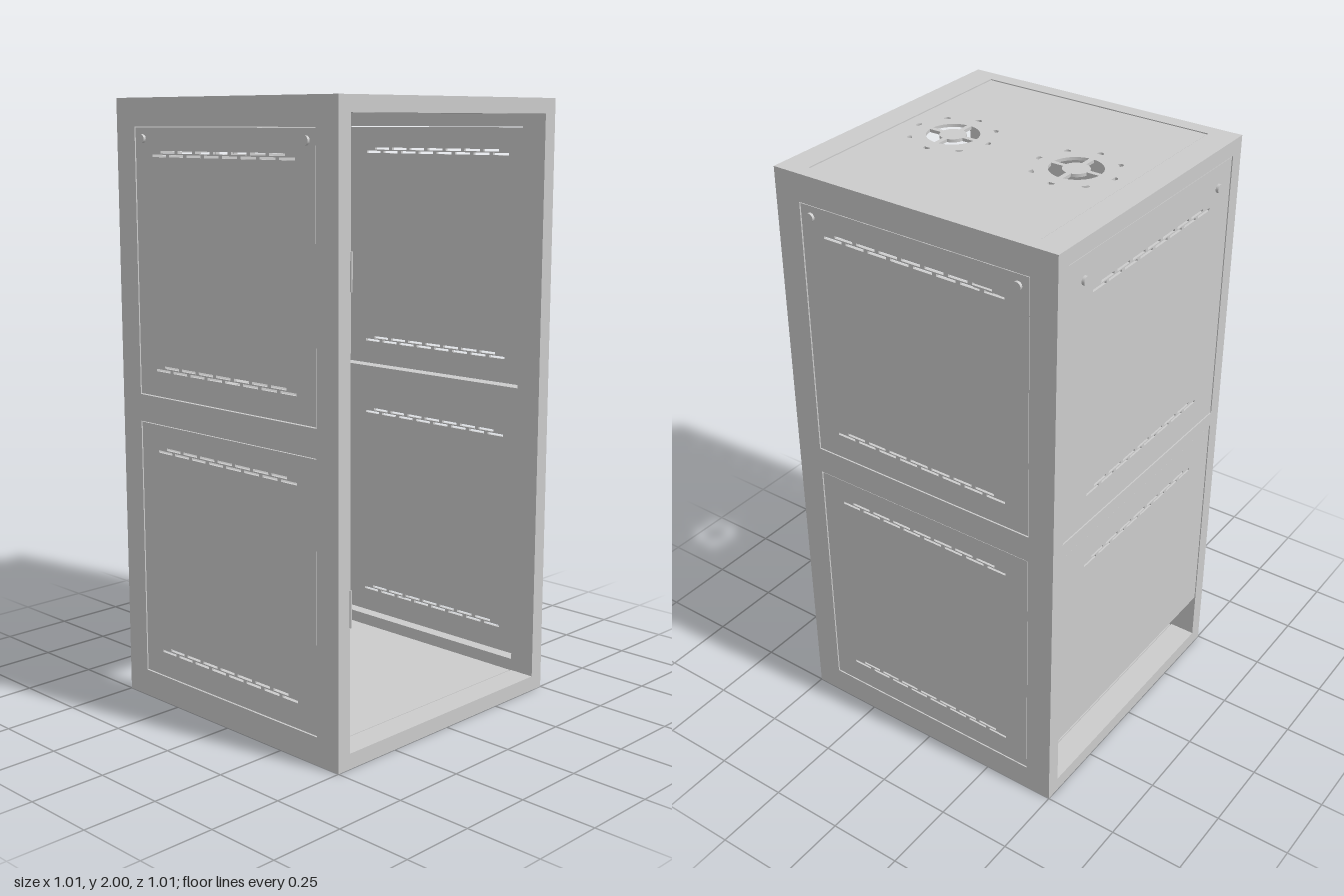
import * as THREE from 'three';

const MAT = new THREE.MeshStandardMaterial({ color: 0xcccccc, side: THREE.DoubleSide });
const BAR = 0.05, DEEP = 0.09, GAP = 0.003, SHEET = 0.01, RECESS = 0.002;

function add(parent, name, geometry, x = 0, y = 0, z = 0) {
  const mesh = new THREE.Mesh(geometry, MAT);
  mesh.name = name;
  mesh.position.set(x, y, z);
  parent.add(mesh);
  return mesh;
}

function rect(Type, x0, x1, y0, y1) {
  const p = new Type();
  p.moveTo(x0, y0);
  p.lineTo(x1, y0);
  p.lineTo(x1, y1);
  p.lineTo(x0, y1);
  p.closePath();
  return p;
}

function sheet(shape, holes, depth) {
  shape.holes.push(...holes);
  return new THREE.ExtrudeGeometry(shape, { depth, bevelEnabled: false, curveSegments: 10 });
}

// Two staggered rows of narrow ventilation slots
function slots(y) {
  const holes = [];
  for (let row = 0; row < 2; row++) {
    const count = 8 - row, pitch = 0.083;
    for (let i = 0; i < count; i++) {
      const x = (i - (count - 1) / 2) * pitch, yy = y + (row ? 0.006 : -0.006);
      holes.push(rect(THREE.Path, x - 0.034, x + 0.034, yy - 0.004, yy + 0.004));
    }
  }
  return holes;
}

// Fan grille: four ring quarters surrounded by eight drops
function fanHoles(cy) {
  const holes = [], inner = 0.042, outer = 0.083, half = 0.008;
  const a = Math.asin(half / inner), b = Math.asin(half / outer);
  for (let q = 0; q < 4; q++) {
    const t = q * Math.PI / 2, p = new THREE.Path();
    p.absarc(0, cy, outer, t + b, t + Math.PI / 2 - b, false);
    p.absarc(0, cy, inner, t + Math.PI / 2 - a, t + a, true);
    p.closePath();
    holes.push(p);
  }
  for (let i = 0; i < 8; i++) {
    const t = i * Math.PI / 4, c = Math.cos(t), s = Math.sin(t), p = new THREE.Path();
    const r = 0.011, mid = 0.13, tip = 0.098;
    p.moveTo(c * tip, cy + s * tip);
    p.absarc(c * mid, cy + s * mid, r, t - 1.9, t + 1.9, false);
    p.closePath();
    holes.push(p);
  }
  return holes;
}

export function createModel() {
  const model = new THREE.Group();
  model.name = 'cabinet';

  // Front and back frames
  for (const [name, z] of [['frontFrame', 0.5 - DEEP], ['backFrame', -0.5]]) {
    const hole = rect(THREE.Path, -0.5 + BAR, 0.5 - BAR, BAR, 2 - BAR);
    add(model, name, sheet(rect(THREE.Shape, -0.5, 0.5, 0, 2), [hole], DEEP), 0, 0, z);
  }
  add(model, 'backMiddleRail', new THREE.BoxGeometry(1 - 2 * BAR, BAR, DEEP), 0, 1, -0.5 + DEEP / 2);

  // Side rails
  const railLength = 1 - 2 * DEEP;
  for (const side of [-1, 1]) {
    for (const [name, y] of [['bottomSideRail', DEEP / 2], ['middleSideRail', 1], ['topSideRail', 2 - DEEP / 2]]) {
      add(model, name, new THREE.BoxGeometry(BAR, DEEP, railLength), side * (0.5 - BAR / 2), y, 0);
    }
  }

  // Slotted wall panels with round locks, on both sides and the back
  const walls = [
    { name: 'rightWall', turn: -Math.PI / 2, half: 0.41, lower: [0.09, 0.955], upper: [1.045, 1.91], rows: [0.185, 0.87] },
    { name: 'leftWall', turn: Math.PI / 2, half: 0.41, lower: [0.09, 0.955], upper: [1.045, 1.91], rows: [0.185, 0.87] },
    { name: 'backWall', turn: Math.PI, half: 0.45, lower: [0.22, 0.975], upper: [1.025, 1.95], rows: [0.87] },
  ];
  for (const w of walls) {
    const wall = new THREE.Group();
    wall.name = w.name;
    wall.rotation.y = w.turn;
    const z = 0.5 - RECESS - SHEET, x = w.half - GAP;
    for (const [name, [y0, y1], rows] of [['lowerPanel', w.lower, w.rows], ['upperPanel', w.upper, [1.14, 1.825]]]) {
      add(wall, name, sheet(rect(THREE.Shape, -x, x, y0 + GAP, y1 - GAP), rows.flatMap(slots), SHEET), 0, 0, z);
    }
    for (const s of [-1, 1]) {
      const lock = new THREE.CylinderGeometry(0.014, 0.014, 0.016, 20).rotateX(Math.PI / 2);
      add(wall, 'lock', lock, s * 0.37, 1.872, 0.499);
    }
    model.add(wall);
  }

  // Top panel with two fan grilles, and the floor panel
  const cover = (holes) => sheet(
    rect(THREE.Shape, -0.45 + GAP, 0.45 - GAP, -0.41 + GAP, 0.41 - GAP), holes, SHEET).rotateX(-Math.PI / 2);
  add(model, 'topPanel', cover([...fanHoles(0.225), ...fanHoles(-0.225)]), 0, 2 - RECESS - SHEET, 0);
  add(model, 'floorPanel', cover([]), 0, BAR - SHEET, 0);

  // Hinge pins on the front frame
  for (const y of [0.505, 1.505]) {
    add(model, 'hingePin', new THREE.CylinderGeometry(0.004, 0.004, 0.115, 12), -0.449, y, 0.501);
  }
  return model;
}
